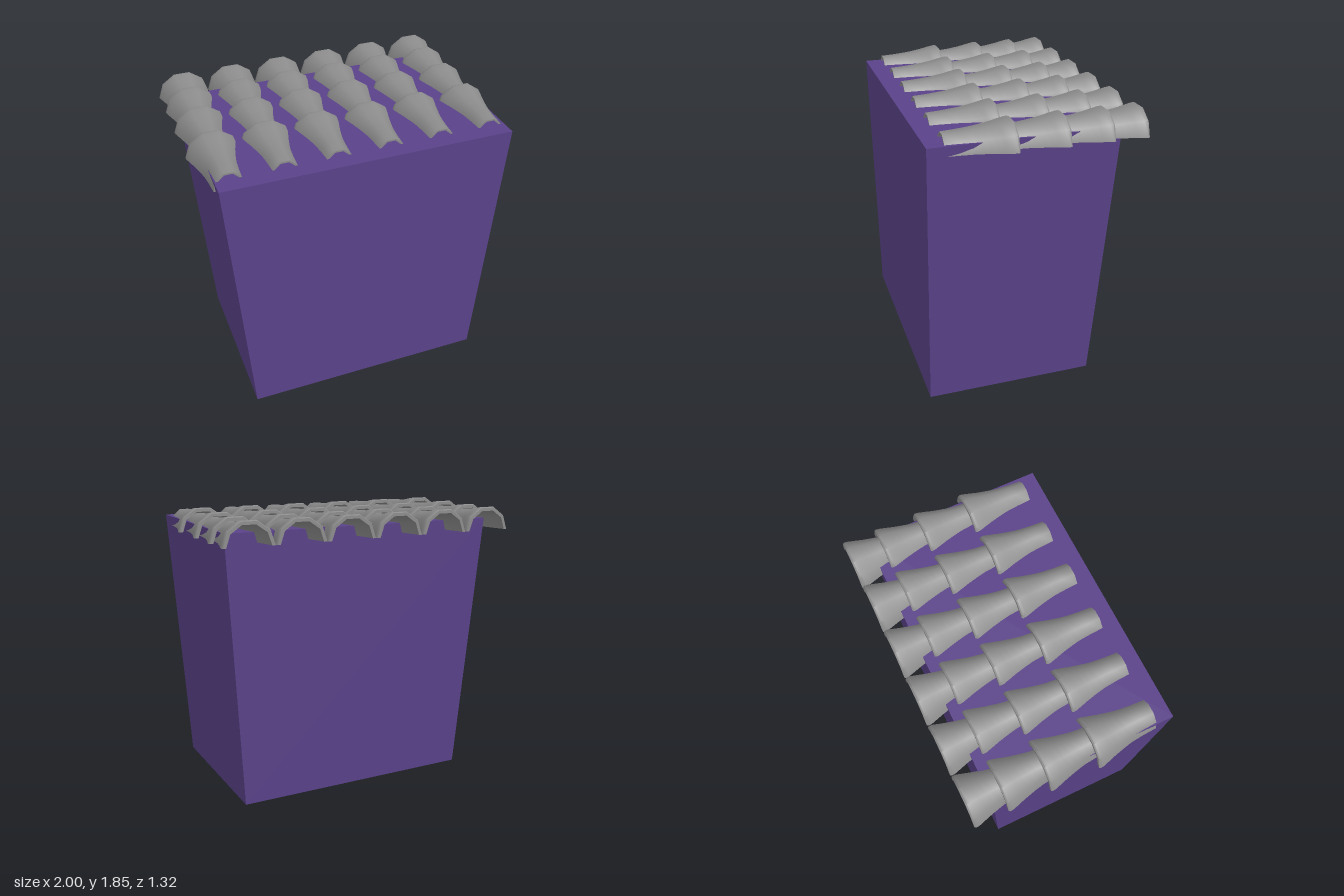
import * as THREE from 'three';
import { toCreasedNormals } from 'three/addons/utils/BufferGeometryUtils.js';

const BASE_Y = 1.70;   // height of the tile feet
const SIDES = 5;       // facets across each arch

// Tapered box: front wall vertical, back and side walls lean outwards, underside open
function taperedBlock() {
  const geo = new THREE.BoxGeometry(1, 1, 1);
  const p = geo.attributes.position;
  for (let i = 0; i < p.count; i++) {
    const top = p.getY(i) > 0;
    const x = 0.006 + Math.sign(p.getX(i)) * (top ? 0.927 : 0.805);
    const z = p.getZ(i) > 0 ? 0.66 : (top ? -0.51 : -0.43);
    p.setXYZ(i, x, top ? 1.763 : 0, z);
  }
  const index = Array.from(geo.index.array);
  index.splice(18, 6); // drop the underside
  geo.setIndex(index);
  geo.clearGroups();
  geo.computeVertexNormals();
  return geo;
}

// Flared half-round tile; wide rim at z = 0, narrow tail towards +z
function tileGeometry() {
  // distance from rim, half width, crown height, thickness
  const stations = [
    [0, 0.160, 0.145, 0.020],
    [0.010, 0.166, 0.150, 0.026],
    [0.030, 0.164, 0.149, 0.026],
    [0.080, 0.149, 0.141, 0.024],
    [0.120, 0.137, 0.133, 0.022],
    [0.160, 0.127, 0.127, 0.020],
    [0.205, 0.116, 0.121, 0.018],
    [0.250, 0.107, 0.117, 0.016],
    [0.330, 0.099, 0.111, 0.014],
    [0.415, 0.094, 0.107, 0.011],
  ];
  const n = 2 * (SIDES + 1);
  const crown = Math.sin(Math.PI * 2 / SIDES);
  const pos = [], idx = [];
  for (const [z, w, h, t] of stations) {
    for (let k = 0; k < n; k++) {
      const inner = k > SIDES;
      const a = Math.PI * (inner ? n - 1 - k : k) / SIDES;
      const cut = inner ? t : 0;
      pos.push(Math.cos(a) * (w - cut), Math.sin(a) * (h / crown - cut), z);
    }
  }
  const quad = (a, b, c, d) => idx.push(a, b, c, a, c, d);
  for (let j = 0; j < stations.length - 1; j++) {
    for (let k = 0; k < n; k++) {
      const a = j * n + k, b = j * n + (k + 1) % n;
      quad(a, b, b + n, a + n);
    }
  }
  // end faces
  const last = (stations.length - 1) * n;
  for (let k = 0; k < SIDES; k++) {
    const o0 = k, o1 = k + 1, i1 = n - 2 - k, i0 = n - 1 - k;
    quad(i0, i1, o1, o0);
    quad(last + o0, last + o1, last + i1, last + i0);
  }
  const geo = new THREE.BufferGeometry();
  geo.setAttribute('position', new THREE.Float32BufferAttribute(pos, 3));
  geo.setIndex(idx);
  return toCreasedNormals(geo, 0.75);
}

export function createModel() {
  const model = new THREE.Group();
  model.name = 'tiledBlock';

  const purple = new THREE.MeshStandardMaterial({ color: 0x5a4289, side: THREE.DoubleSide });
  purple.name = 'purple wall';
  const grey = new THREE.MeshStandardMaterial({ color: 0x8c8c8c });
  grey.name = 'grey tile';

  const block = new THREE.Mesh(taperedBlock(), purple);
  block.name = 'block';
  model.add(block);

  // Four overlapping rows of six tiles
  const tile = tileGeometry();
  [-0.66, -0.445, -0.175, 0.138].forEach((z, r) => {
    const row = new THREE.Group();
    row.name = `tileRow${r + 1}`;
    for (let c = 0; c < 6; c++) {
      const mesh = new THREE.Mesh(tile, grey);
      mesh.name = `tile${c + 1}`;
      mesh.position.set((c - 2.5) * 0.3336, BASE_Y, z);
      row.add(mesh);
    }
    model.add(row);
  });
  return model;
}
